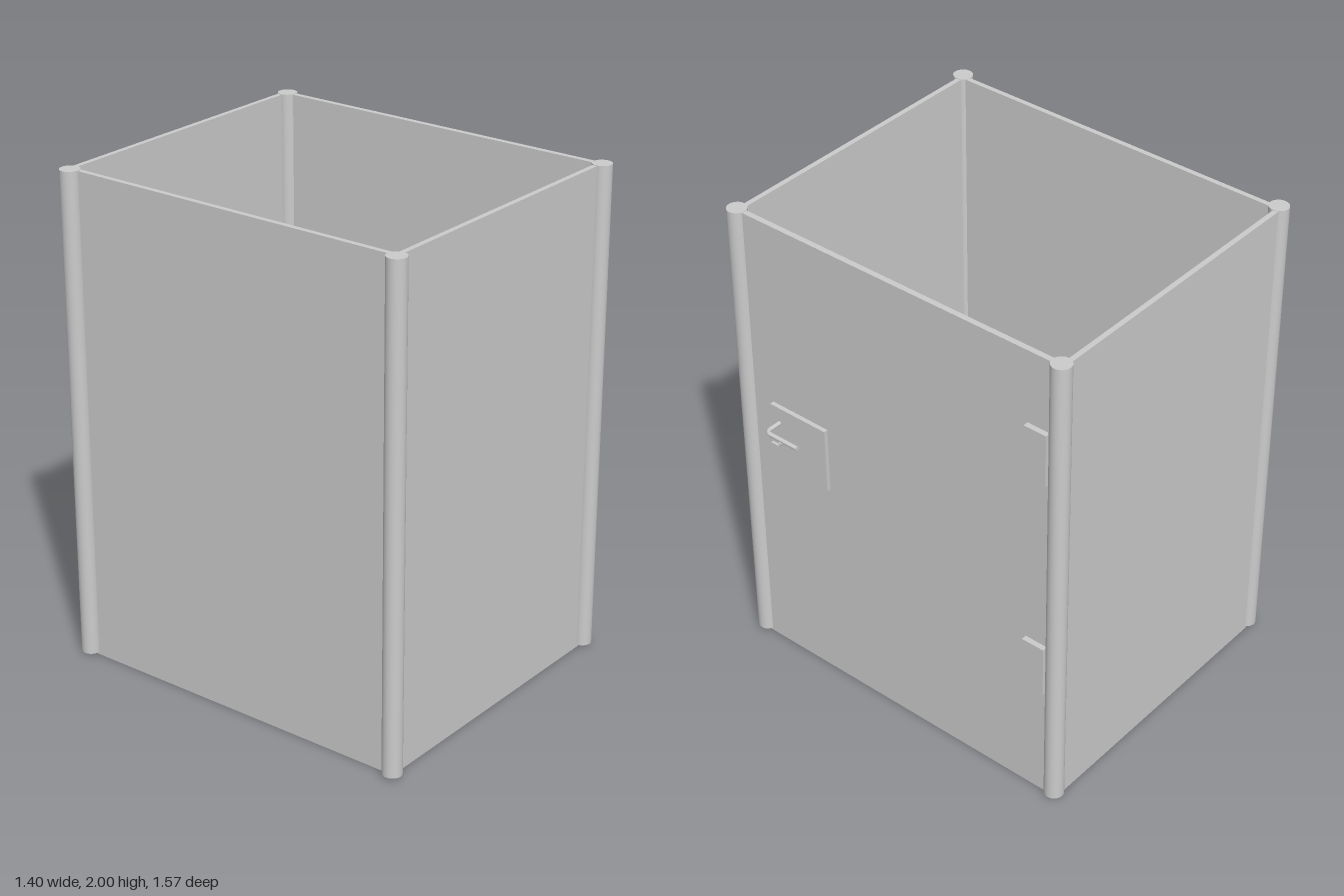
import * as THREE from 'three';

export function createModel() {
  const model = new THREE.Group();
  const grey = new THREE.MeshStandardMaterial({ color: 0xcccccc });

  const add = (name, geometry, x = 0, y = 0, z = 0) => {
    const mesh = new THREE.Mesh(geometry, grey);
    mesh.name = name;
    mesh.position.set(x, y, z);
    model.add(mesh);
    return mesh;
  };
  // Box given by its limits on each axis
  const slab = (name, [x0, x1], [y0, y1], [z0, z1]) =>
    add(name, new THREE.BoxGeometry(x1 - x0, y1 - y0, z1 - z0),
      (x0 + x1) / 2, (y0 + y1) / 2, (z0 + z1) / 2);

  // Round corner posts, just clear of the ground
  const left = 0.588, right = -0.664, depth = 0.744, radius = 0.039;
  for (const x of [right, left])
    for (const z of [-depth, depth])
      add('cornerPost', new THREE.CylinderGeometry(radius, radius, 1.99, 40), x, 1.005, z);

  // Four thin walls, open at the top and bottom
  const height = [0, 1.998];
  slab('frontWall', [-0.635, 0.56], height, [0.725, 0.746]);
  slab('backWall', [-0.635, 0.56], height, [-0.764, -0.743]);
  slab('sideWall', [-0.662, -0.641], height, [-0.715, 0.715]);
  slab('door', [0.577, 0.6], height, [-0.715, 0.715]);

  // Door hinges
  for (const y of [0.51, 1.48])
    slab('hinge', [0.598, 0.622], [y, y + 0.22], [-0.71, -0.612]);

  // Lock plate
  slab('lockPlate', [0.598, 0.618], [0.922, 1.202], [0.337, 0.612]);

  // Lever handle: straight stem, rounded elbow, long grip
  const path = new THREE.CurvePath();
  const v = (x, z) => new THREE.Vector3(x, 1.132, z);
  path.add(new THREE.LineCurve3(v(0.61, 0.569), v(0.665, 0.569)));
  path.add(new THREE.QuadraticBezierCurve3(v(0.665, 0.569), v(0.69, 0.569), v(0.69, 0.544)));
  path.add(new THREE.LineCurve3(v(0.69, 0.544), v(0.69, 0.41)));
  add('handle', new THREE.TubeGeometry(path, 60, 0.009, 16));
  const cap = add('handleEnd', new THREE.CircleGeometry(0.009, 16), 0.69, 1.132, 0.41);
  cap.rotation.y = Math.PI;

  // Round latch with a thin turning tab
  const latch = add('latch', new THREE.CylinderGeometry(0.018, 0.018, 0.02, 28), 0.624, 1.041, 0.577);
  latch.rotation.z = Math.PI / 2;
  slab('latchTab', [0.63, 0.645], [1.036, 1.046], [0.561, 0.593]);

  return model;
}
